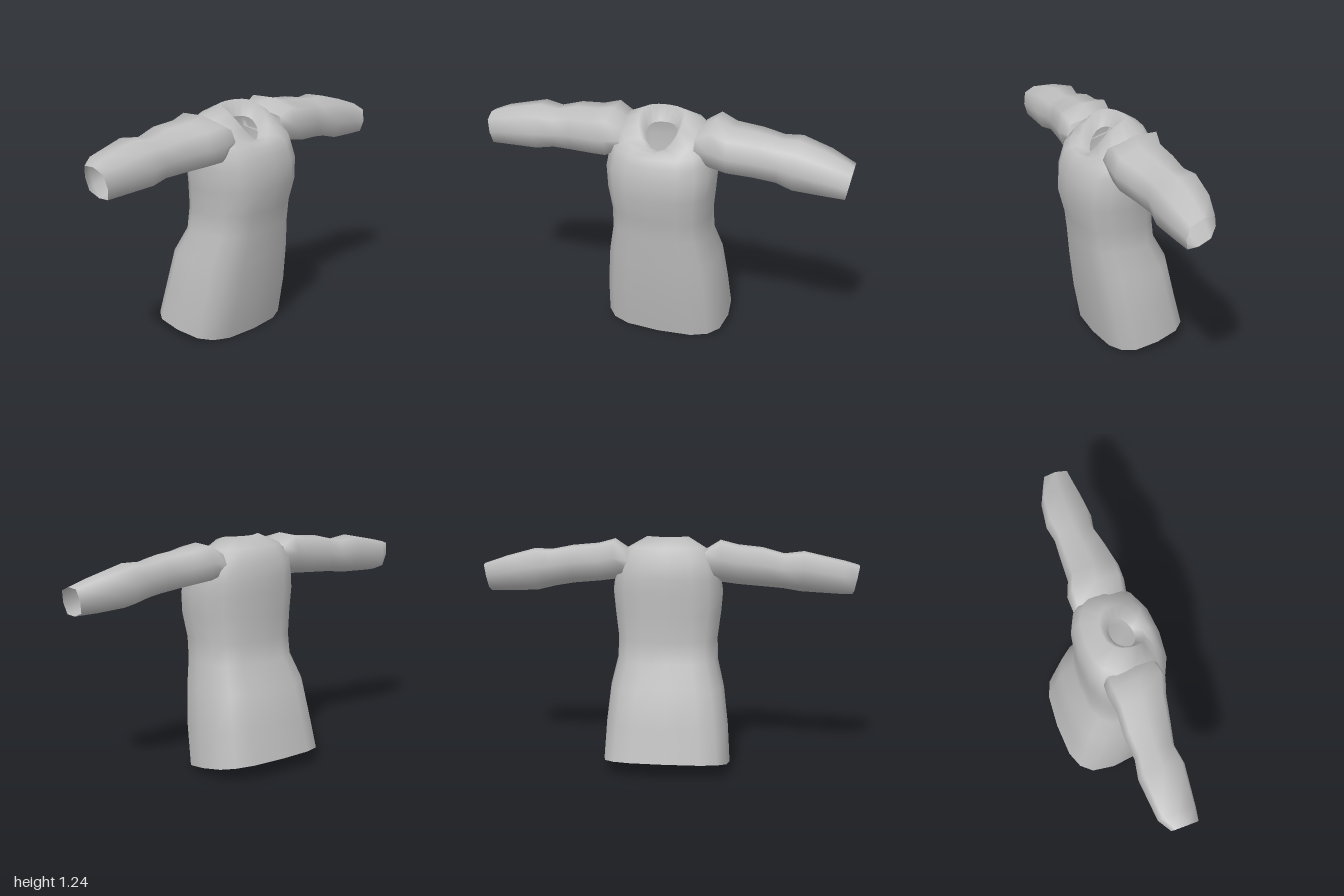
import * as THREE from 'three';

const fabric = new THREE.MeshStandardMaterial({ color: 0xbfbfbf, side: THREE.DoubleSide });
fabric.name = 'grey fabric';

// Signed power: rounds a circle towards a box as e falls
const soft = (v, e) => Math.sign(v) * Math.abs(v) ** e;

// Open tube through a list of cross-sections; point(row, cos, sin, i) gives [x, y, z]
function loft(name, rows, sides, point) {
  const pos = [], idx = [];
  rows.forEach((row, i) => {
    for (let j = 0; j < sides; j++) {
      const a = (j / sides) * Math.PI * 2;
      pos.push(...point(row, Math.cos(a), Math.sin(a), i));
      if (i === rows.length - 1) continue;
      const k = i * sides + j, n = i * sides + (j + 1) % sides;
      idx.push(k, k + sides, n, n, k + sides, n + sides);
    }
  });
  const geo = new THREE.BufferGeometry();
  geo.setAttribute('position', new THREE.Float32BufferAttribute(pos, 3));
  geo.setIndex(idx);
  geo.computeVertexNormals();
  const mesh = new THREE.Mesh(geo, fabric);
  mesh.name = name;
  return mesh;
}

// Body, hem to neckline: half width, front z, back z, front y, back y, front dip power, squareness
const bodyRows = [
  [0.34, 0.16, -0.305, 0, 0.085, 1, 0.65],
  [0.328, 0.205, -0.265, 0.22, 0.26, 1, 0.68],
  [0.305, 0.235, -0.225, 0.43, 0.45, 1, 0.7],
  [0.27, 0.255, -0.155, 0.59, 0.58, 1, 0.72],
  [0.268, 0.27, -0.145, 0.7, 0.7, 1, 0.75],
  [0.285, 0.305, -0.148, 0.83, 0.83, 1, 0.78],
  [0.295, 0.298, -0.153, 0.94, 0.95, 1, 0.78],
  [0.285, 0.28, -0.155, 1.0, 1.03, 1, 0.78],
  [0.275, 0.262, -0.145, 1.04, 1.12, 2, 0.78],
  [0.22, 0.235, -0.11, 1.06, 1.19, 2.5, 0.8],
  [0.12, 0.2, -0.025, 1.06, 1.24, 3, 0.9],
  [0.08, 0.155, 0.02, 1.05, 1.16, 2, 1],
];

// Sleeves, cuff positions outward in x: x, top y, bottom y, back z, front z
const leftRows = [
  [0.2, 1.17, 1.04, -0.09, 0.2],
  [0.28, 1.222, 1.005, -0.09, 0.22],
  [0.37, 1.195, 0.99, -0.05, 0.23],
  [0.51, 1.182, 0.978, -0.035, 0.215],
  [0.62, 1.16, 0.96, -0.02, 0.197],
  [0.71, 1.163, 0.937, -0.03, 0.22],
  [0.86, 1.12, 0.929, 0, 0.22],
  [0.983, 1.075, 0.924, 0.058, 0.215],
];
const rightRows = [
  [-0.988, 1.1, 0.945, -0.085, 0.06],
  [-0.92, 1.122, 0.948, -0.125, 0.075],
  [-0.71, 1.17, 0.958, -0.135, 0.11],
  [-0.61, 1.157, 0.973, -0.11, 0.1],
  [-0.5, 1.187, 0.98, -0.115, 0.13],
  [-0.37, 1.198, 0.987, -0.1, 0.165],
  [-0.28, 1.22, 0.997, -0.11, 0.2],
  [-0.2, 1.17, 1.04, -0.1, 0.19],
];

function bodyPoint([hx, zf, zb, yf, yb, dip, e], c, s) {
  const x = hx * soft(c, e), u = soft(s, e);
  const y = yb + (yf - yb) * ((1 + u) / 2) ** dip;
  return [x, y, (zf + zb) / 2 + (zf - zb) / 2 * u + 0.06 * x]; // slight turn of the body
}

function sleevePoint([x, top, bottom, back, front], c, s) {
  const u = soft(c, 0.6), v = soft(s, 0.6);
  const tilt = Math.sign(x) * 0.016 * v * Math.max(0, Math.abs(x) * 2 - 1);
  return [
    x + tilt,
    (top + bottom) / 2 + (top - bottom) / 2 * (v - 0.2 * u), // front edge hangs lower
    (front + back) / 2 + (front - back) / 2 * u,
  ];
}

export function createModel() {
  const shirt = new THREE.Group();
  shirt.name = 'shirt';
  shirt.add(
    loft('body', bodyRows, 16, bodyPoint),
    loft('leftSleeve', leftRows, 8, sleevePoint),
    loft('rightSleeve', rightRows, 8, sleevePoint),
  );
  return shirt;
}
